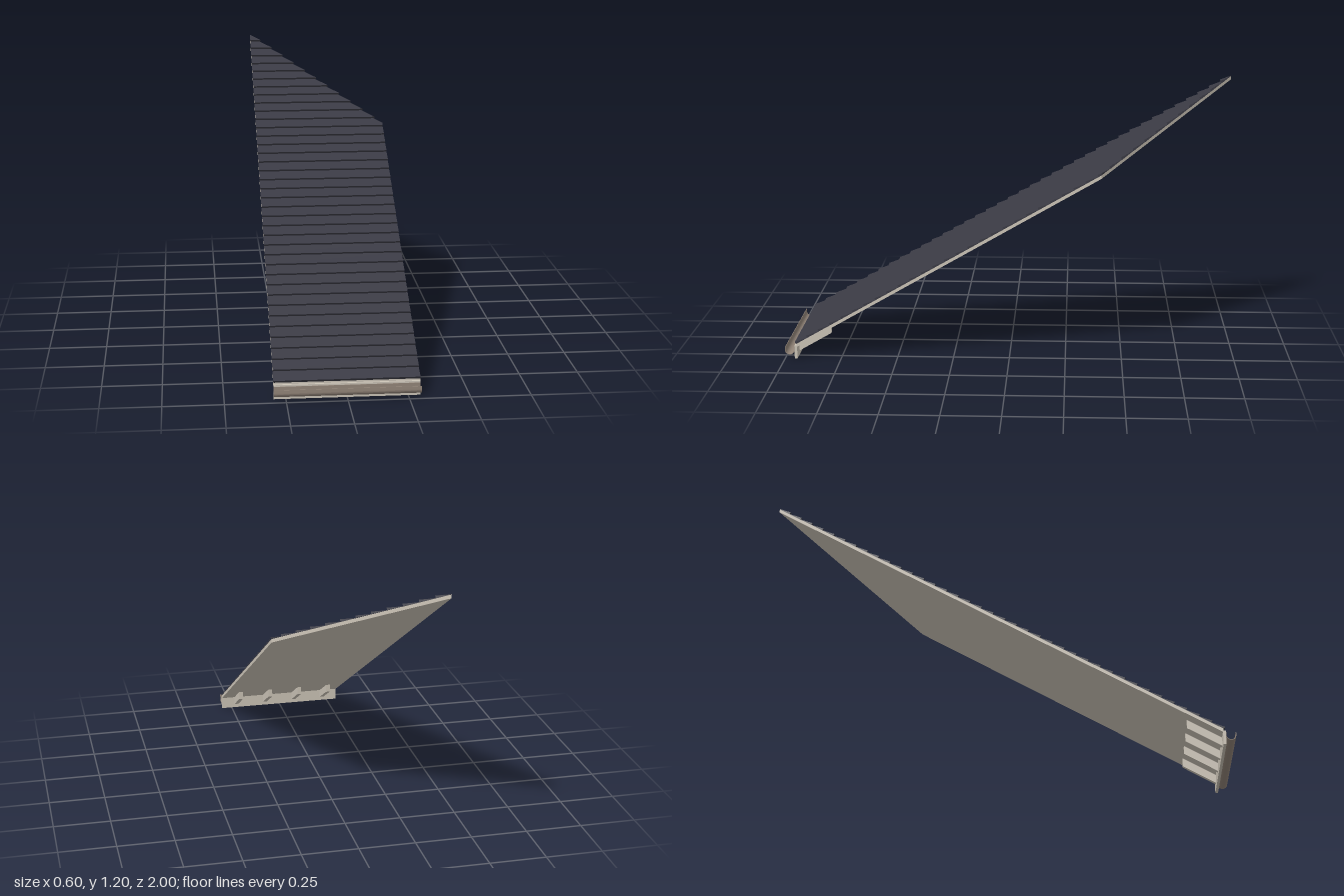
import * as THREE from 'three';
import { mergeGeometries } from 'three/addons/utils/BufferGeometryUtils.js';

const HALF = 0.3, FRONT = 0.955, BACK = -1, COURSES = 38;
const SLOPE = Math.tan(Math.PI / 6);
const roofY = z => 1.206 - SLOPE * (z - BACK);

// plan outline between two z values, cut by the diagonal edge z = x - 0.7
function plan(front, back) {
  const edge = z => Math.min(HALF, z + 0.7);
  const pts = [[-HALF, front], [edge(front), front]];
  if (back < -0.4 && front > -0.4) pts.push([HALF, -0.4]);
  if (edge(back) > -HALF + 1e-6) pts.push([edge(back), back]);
  pts.push([-HALF, back]);
  return pts;
}

// prism over a plan outline; place(z, isTop) gives the final [y, z]
function slab(points, place) {
  const shape = new THREE.Shape(points.map(([x, z]) => new THREE.Vector2(x, -z)));
  const g = new THREE.ExtrudeGeometry(shape, { depth: 1, bevelEnabled: false });
  g.rotateX(-Math.PI / 2);
  const p = g.attributes.position;
  for (let i = 0; i < p.count; i++) {
    const [y, z] = place(p.getZ(i), p.getY(i) > 0.5);
    p.setY(i, y);
    p.setZ(i, z);
  }
  g.computeVertexNormals();
  return g;
}

export function createModel() {
  const tile = new THREE.MeshStandardMaterial({ name: 'slate', color: 0x3a3a44 });
  const wood = new THREE.MeshStandardMaterial({ name: 'pale wood', color: 0xcdc5b8 });
  const metal = new THREE.MeshStandardMaterial({ name: 'gutter brown', color: 0x94867a, side: THREE.DoubleSide });
  const group = new THREE.Group();
  group.name = 'roofPanel';
  const add = (geometry, material, name) => {
    const mesh = new THREE.Mesh(geometry, material);
    mesh.name = name;
    group.add(mesh);
    return mesh;
  };

  // overlapping tile courses, each with a raised, undercut front edge
  const step = (FRONT - BACK) / COURSES;
  const courses = [];
  for (let i = 0; i < COURSES; i++) {
    const front = FRONT - i * step;
    const back = Math.max(BACK, front - step - 0.006);
    courses.push(slab(plan(front, back), (z, top) => {
      if (top) return [roofY(z) - 0.01 * (front - z) / step, z];
      const zz = z > front - 1e-5 ? z - 0.0055 : z;
      return [roofY(zz) - 0.0125, zz];
    }));
  }
  add(mergeGeometries(courses), tile, 'tileCourses');

  // deck board under the tiles
  add(slab(plan(0.948, BACK), (z, top) => [roofY(z) - (top ? 0.0125 : 0.028), z]), wood, 'deck');

  // fascia board
  const fascia = add(new THREE.BoxGeometry(2 * HALF, 0.06, 0.012), wood, 'fascia');
  fascia.position.set(0, 0.03, 0.951);

  // rafter tails
  for (const x of [-0.225, -0.075, 0.075, 0.225]) {
    const w = 0.01;
    const outline = [[x - w, 0.948], [x + w, 0.948], [x + w, 0.8], [x - w, 0.8]];
    add(slab(outline, (z, top) => [roofY(z) - (top ? 0.027 : 0.066), z]), wood, 'rafterTail');
  }

  // half-round gutter, open at the top and ends
  const cz = 0.9785, cy = 0.04, r = 0.0215, t = 0.002, lip = 0.053;
  const profile = new THREE.Shape();
  profile.moveTo(cz - r, lip);
  profile.lineTo(cz - r, cy);
  profile.absarc(cz, cy, r, Math.PI, 2 * Math.PI, false);
  profile.lineTo(cz + r, lip);
  profile.lineTo(cz + r - t, lip);
  profile.absarc(cz, cy, r - t, 2 * Math.PI, Math.PI, true);
  profile.lineTo(cz - r + t, lip);
  profile.closePath();
  const gutter = new THREE.ExtrudeGeometry(profile, { depth: 2 * HALF, bevelEnabled: false, curveSegments: 10 });
  gutter.rotateY(-Math.PI / 2).translate(HALF, 0, 0);
  add(gutter, metal, 'gutter');

  return group;
}
